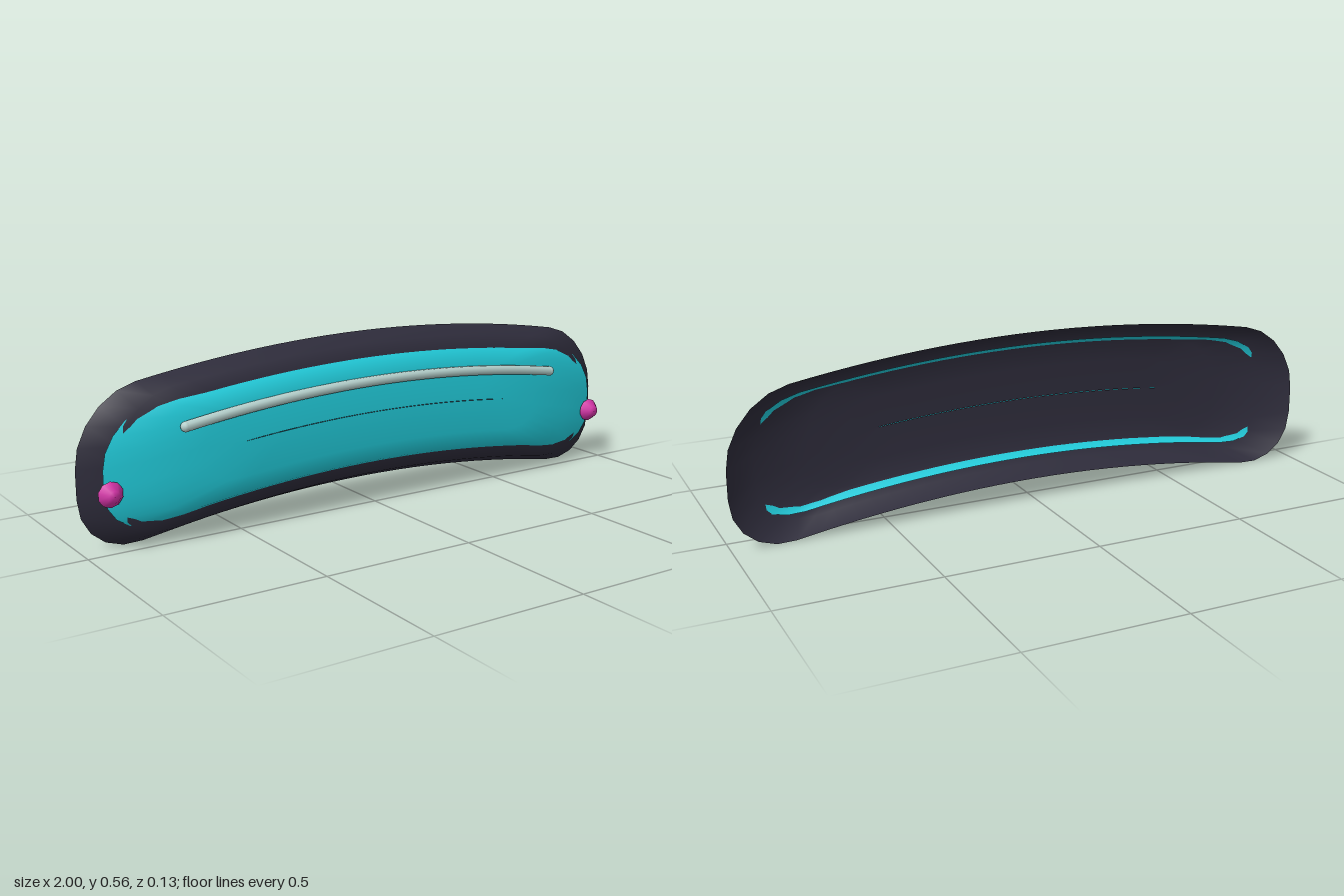
import * as THREE from 'three';

const mat = (name, color, side = THREE.FrontSide) => {
  const m = new THREE.MeshStandardMaterial({ color, side });
  m.name = name;
  return m;
};

// height of the arched centre line
const arch = (x) => 0.32 - 0.11 * x * x;

// rounded rectangle, counter-clockwise, bent along the arch
function outline(hx, hy, z) {
  const rx = 0.2 * hx, ry = 0.2 * (hy / 0.245), pts = [];
  const add = (x, y) => pts.push([x, y + arch(x), z]);
  const corners = [[1, -1, -90], [1, 1, 0], [-1, 1, 90], [-1, -1, 180]];
  corners.forEach(([sx, sy, start], c) => {
    for (let i = 0; i <= 5; i++) {
      const a = THREE.MathUtils.degToRad(start + 18 * i);
      add(sx * (hx - rx) + rx * Math.cos(a), sy * (hy - ry) + ry * Math.sin(a));
    }
    if (c === 1 || c === 3) {
      // subdivide the long top and bottom edges
      for (let i = 1; i < 24; i++) add(sx * (hx - rx) * (1 - i / 12), sy * hy);
    }
  });
  return pts;
}

// shell lofted through rings of [half width, half height, z], from back to front
function shell(rings) {
  const loops = rings.map((r) => outline(...r));
  const n = loops[0].length, index = [];
  for (let i = 0; i < loops.length - 1; i++) {
    for (let j = 0; j < n; j++) {
      const k = (j + 1) % n;
      const a = i * n + j, b = i * n + k, c = a + n, d = b + n;
      index.push(a, b, d, a, d, c);
    }
  }
  const g = new THREE.BufferGeometry();
  g.setAttribute('position', new THREE.Float32BufferAttribute(loops.flat(2), 3));
  g.setIndex(index);
  g.computeVertexNormals();
  return g;
}

export function createModel() {
  const group = new THREE.Group();
  const dark = mat('dark frame', 0x2e2c3b, THREE.DoubleSide);
  const cyan = mat('cyan lens', 0x22cfde, THREE.DoubleSide);
  const silver = mat('pale trim', 0xb4cfcb);
  const pink = mat('pink stud', 0xd233a6);

  const add = (name, geometry, material, x = 0, y = 0, z = 0) => {
    const m = new THREE.Mesh(geometry, material);
    m.name = name;
    m.position.set(x, y, z);
    group.add(m);
    return m;
  };

  // open-backed frame
  add('frame', shell([
    [1, 0.245, -0.065],
    [0.9, 0.216, 0.002],
    [0.73, 0.165, 0.022],
    [0.6, 0.1, 0.028],
    [0.5, 0.0005, 0.03],
  ]), dark);

  // domed lens seated in the frame
  add('lens', shell([
    [0.94, 0.19, -0.005],
    [0.81, 0.166, 0.03],
    [0.64, 0.11, 0.045],
    [0.5, 0.0005, 0.046],
  ]), cyan);

  // curved trim bar with rounded ends
  const barY = (x) => 0.423 - 0.113 * x * x;
  const path = [];
  for (let i = -8; i <= 8; i++) {
    const x = i * 0.7 / 8;
    path.push(new THREE.Vector3(x, barY(x), 0.052));
  }
  add('trimBar', new THREE.TubeGeometry(new THREE.CatmullRomCurve3(path), 40, 0.016, 10), silver);
  for (const s of [-1, 1]) {
    add('trimBarEnd', new THREE.SphereGeometry(0.0165, 12, 8), silver, s * 0.7, barY(0.7), 0.052);
  }

  // tapered studs at both ends
  const profile = [[0, 0], [0.04, 0], [0.04, 0], [0.018, 0.03], [0, 0.031]].map((p) => new THREE.Vector2(...p));
  const studGeometry = new THREE.LatheGeometry(profile, 10);
  for (const s of [-1, 1]) {
    add(s > 0 ? 'leftStud' : 'rightStud', studGeometry, pink, s * 0.927, 0.19, 0.015).rotation.x = Math.PI / 2;
  }
  return group;
}
